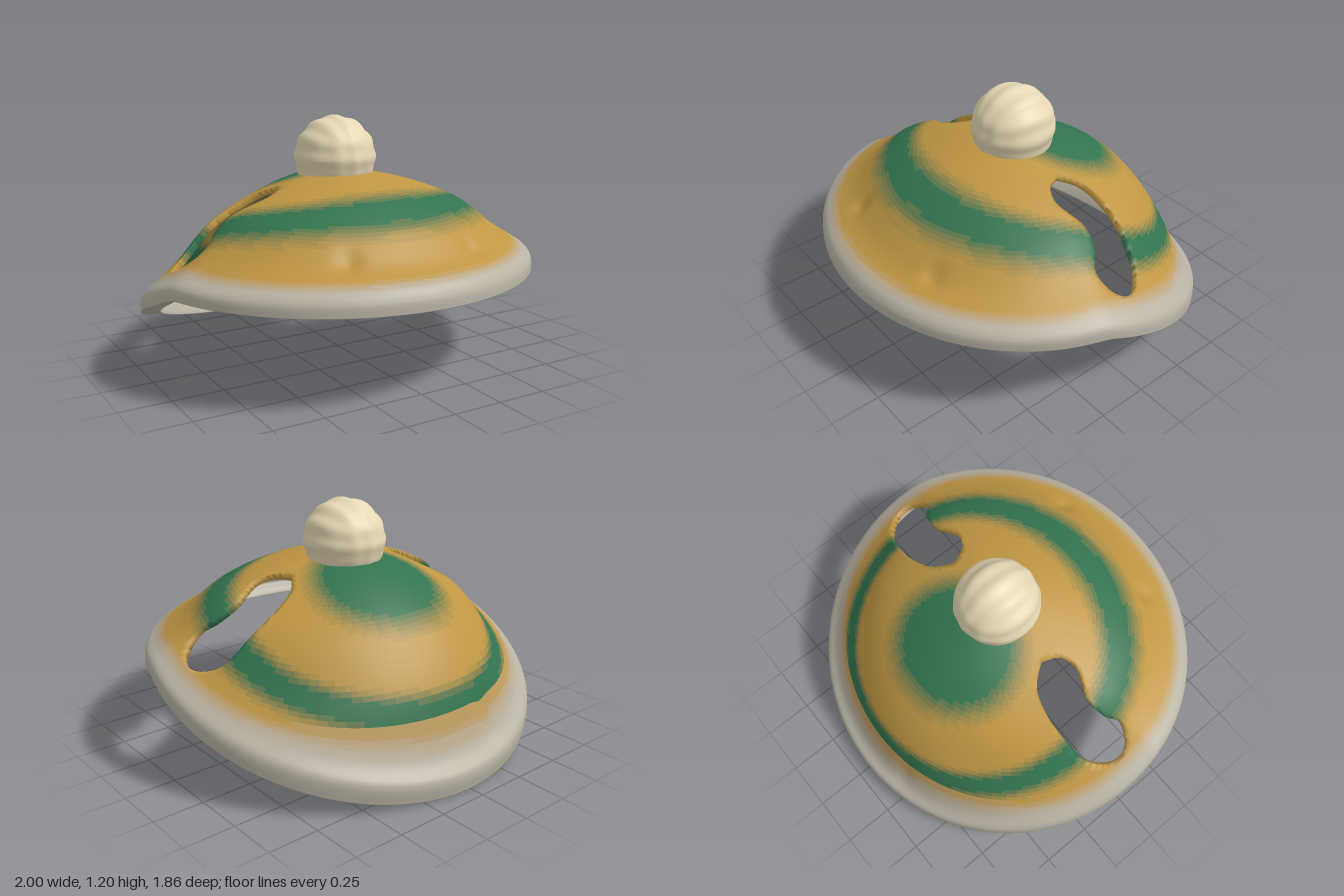
import * as THREE from 'three';

const ROWS = 70, COLS = 200, TOP = 0.93, TONES = 6;
const spline = (list) => new THREE.SplineCurve(list.map(([x, y]) => new THREE.Vector2(x, y)));
const smooth = THREE.MathUtils.smoothstep;

// Crown-to-brim profiles: [fraction of plan radius, fraction of height]
const frontProfile = spline([[0.05, 1], [0.19, 0.985], [0.43, 0.85], [0.645, 0.63], [0.82, 0.345], [0.945, 0.225], [0.99, 0.12], [1, 0]]);
const sideProfile = spline([[0.05, 1], [0.2, 0.96], [0.43, 0.83], [0.645, 0.64], [0.81, 0.37], [0.935, 0.21], [0.99, 0.12], [1, 0]]);
const backProfile = spline([[0.05, 1], [0.215, 0.98], [0.43, 0.89], [0.645, 0.73], [0.81, 0.5], [0.925, 0.19], [1, 0.1], [0.995, 0]]);

// Plan outline of the side opening, mirrored in x
const opening = spline([[0.33, -0.03], [0.4, -0.115], [0.5, -0.15], [0.62, -0.155], [0.77, -0.125], [0.86, -0.045],
  [0.88, 0.04], [0.84, 0.1], [0.76, 0.12], [0.69, 0.065], [0.6, 0.042], [0.52, 0.07], [0.45, 0.09], [0.37, 0.055], [0.33, -0.03]]).getPoints(300);

// Small puckers in the knit: [x, z]
const dents = [[0.31, 0.68], [-0.33, 0.66], [-0.2, -0.81]];

// Brim height: level in front, sloping down to the back
function brimY(z) {
  const d = 0.22 - z;
  return 0.457 - 0.396 * (d + Math.sqrt(d * d + 0.0009)) / 2;
}

function profileAt(a, u) {
  const ends = frontProfile.getPoint(u).lerp(backProfile.getPoint(u), (1 - Math.cos(a)) / 2);
  return ends.lerp(sideProfile.getPoint(u), Math.sin(a) ** 2);
}

function surface(a, u) {
  const p = profileAt(a, u), b = brimY(0.93 * Math.cos(a));
  const v = new THREE.Vector3(Math.sin(a) * p.x, b + (TOP - b) * p.y, 0.93 * Math.cos(a) * p.x);
  for (const [x, z] of dents) v.y -= 0.025 * Math.exp(-((v.x - x) ** 2 + (v.z - z) ** 2) / 0.002);
  return v;
}

function inOpening(x, z) {
  let inside = false;
  x = Math.abs(x);
  for (let i = 0, j = opening.length - 1; i < opening.length; j = i++) {
    const p = opening[i], q = opening[j];
    if ((p.y > z) !== (q.y > z) && x < (q.x - p.x) * (z - p.y) / (q.y - p.y) + p.x) inside = !inside;
  }
  return inside;
}

// Moves a surface point onto the nearest point of the opening's edge
function snapToOpening(v) {
  const s = Math.sign(v.x), at = new THREE.Vector2(Math.abs(v.x), v.z);
  const best = opening.reduce((m, p) => (p.distanceToSquared(at) < m.distanceToSquared(at) ? p : m));
  const x = s * best.x, z = best.y / 0.93, a = Math.atan2(x, z), r = Math.hypot(x, z);
  let lo = 0, hi = 0.85;
  for (let k = 0; k < 22; k++) {
    const mid = (lo + hi) / 2;
    if (profileAt(a, mid).x < r) lo = mid; else hi = mid;
  }
  return surface(a, lo);
}

// Tones: 0 gold, up to +TONES green, down to -TONES pale brim
function toneAt(v, inner) {
  const z = v.z / 0.93, r = Math.hypot(v.x, z), c = z / r;
  const edge = r + (inner ? 0.06 * Math.min(1, 1 + 2 * c) : -0.015 - 0.015 * c);
  const pale = Math.round(smooth(edge, 0.85, 0.94) * TONES);
  if (pale > 0) return -pale;
  const w = 0.09 + 0.05 * c;
  const ring = 1 - smooth(Math.abs(r - 0.7 + 0.155 * c), 0.3 * w, 1.4 * w);
  const crown = 1 - smooth(Math.hypot(v.x * 0.88, v.z + 0.28), 0.22, 0.37);
  return Math.round(Math.max(ring, crown) * TONES);
}

function buildHat() {
  const id = (i, j) => i * COLS + (j + COLS) % COLS;
  const outer = [];
  for (let i = 0; i <= ROWS; i++) {
    for (let j = 0; j < COLS; j++) outer.push(surface(j / COLS * Math.PI * 2, i / ROWS));
  }
  const N = outer.length;
  const corners = (i, j) => [id(i, j), id(i + 1, j), id(i, j + 1), id(i + 1, j + 1)];
  const centre = (ids) => ids.reduce((s, k) => s.add(outer[k]), new THREE.Vector3()).multiplyScalar(0.25);
  const cells = [];
  for (let i = 0; i < ROWS; i++) {
    for (let j = 0; j < COLS; j++) cells.push([i, j]);
  }

  // Normals of the uncut surface guide the lining
  const shell = new THREE.BufferGeometry().setFromPoints(outer);
  shell.setIndex(cells.flatMap(([i, j]) => {
    const [a, b, c, d] = corners(i, j);
    return [a, b, c, c, b, d];
  }));
  shell.computeVertexNormals();

  // Cut the openings and tidy their edges
  const cut = new Set(), touchesCut = new Set(), touchesKept = new Set();
  for (const [i, j] of cells) {
    const ids = corners(i, j), c = centre(ids);
    const gone = inOpening(c.x, c.z);
    if (gone) cut.add(id(i, j));
    ids.forEach((k) => (gone ? touchesCut : touchesKept).add(k));
  }
  touchesCut.forEach((k) => { if (touchesKept.has(k)) outer[k] = snapToOpening(outer[k]); });

  // Lining: offset inwards, thicker and level at the brim
  const inner = outer.map((p, k) => {
    const n = new THREE.Vector3().fromBufferAttribute(shell.attributes.normal, k);
    const row = Math.floor(k / COLS) / ROWS;
    n.y *= 1 - smooth(row, 0.75, 1);
    return p.clone().addScaledVector(n, -(0.03 + 0.065 * smooth(row, 0.75, 1)));
  });

  // Collect faces by tone
  const faces = new Map();
  const quad = (tone, a, b, c, d) => {
    if (!faces.has(tone)) faces.set(tone, []);
    faces.get(tone).push(a, b, c, c, b, d);
  };
  for (const [i, j] of cells) {
    if (cut.has(id(i, j))) continue;
    const [a, b, c, d] = corners(i, j), mid = centre([a, b, c, d]), tone = toneAt(mid, false);
    quad(tone, a, b, c, d);
    quad(toneAt(mid, true), N + a, N + c, N + b, N + d);
    // Walls of the openings
    const sides = [[i, j - 1, a, b], [i + 1, j, b, d], [i, j + 1, d, c], [i - 1, j, c, a]];
    for (const [ni, nj, p, q] of sides) {
      if (ni >= 0 && ni < ROWS && cut.has(id(ni, nj))) quad(tone, q, p, N + q, N + p);
    }
    // Underside of the brim
    if (i === ROWS - 1) quad(-TONES, N + b, N + d, b, d);
  }

  // One mesh per tone, sharing smooth normals
  const whole = new THREE.BufferGeometry().setFromPoints([...outer, ...inner]);
  whole.setIndex([...faces.values()].flat());
  whole.computeVertexNormals();
  const gold = new THREE.Color(0xbf9643), green = new THREE.Color(0x32734f), pale = new THREE.Color(0xb9b3a4);
  const names = { 0: 'goldBands', [TONES]: 'greenBands', [-TONES]: 'brim' };
  const hat = new THREE.Group();
  hat.name = 'hat';
  for (const [tone, index] of faces) {
    const g = new THREE.BufferGeometry();
    g.setAttribute('position', whole.attributes.position);
    g.setAttribute('normal', whole.attributes.normal);
    g.setIndex(index);
    const color = gold.clone().lerp(tone > 0 ? green : pale, Math.abs(tone) / TONES);
    const mesh = new THREE.Mesh(g, new THREE.MeshStandardMaterial({ color }));
    mesh.name = names[tone] ?? (tone > 0 ? `greenBlend${tone}` : `brimBlend${-tone}`);
    hat.add(mesh);
  }
  return hat;
}

// Bobble: lobes around its girth, soft chequered bumps front and back
function buildPompom() {
  const g = new THREE.SphereGeometry(1, 84, 44);
  g.rotateX(Math.PI / 2);
  const p = g.attributes.position, v = new THREE.Vector3();
  for (let i = 0; i < p.count; i++) {
    v.fromBufferAttribute(p, i);
    const girth = v.x * v.x + v.y * v.y, t = Math.atan2(v.y, v.x);
    const lobes = 0.025 * girth * girth * Math.cos(12 * t);
    const bumps = 0.025 * (1 - girth) * Math.cos(7 * (v.x + v.y)) * Math.cos(7 * (v.x - v.y));
    v.multiplyScalar(1 + lobes + bumps);
    p.setXYZ(i, v.x * 0.2, v.y * 0.202, v.z * 0.207);
  }
  g.computeVertexNormals();
  const mesh = new THREE.Mesh(g, new THREE.MeshStandardMaterial({ color: 0xe6d8b4 }));
  mesh.name = 'pompom';
  mesh.position.set(0, 0.993, -0.027);
  return mesh;
}

export function createModel() {
  const model = new THREE.Group();
  model.name = 'bobbleHat';
  model.add(buildHat(), buildPompom());
  return model;
}
